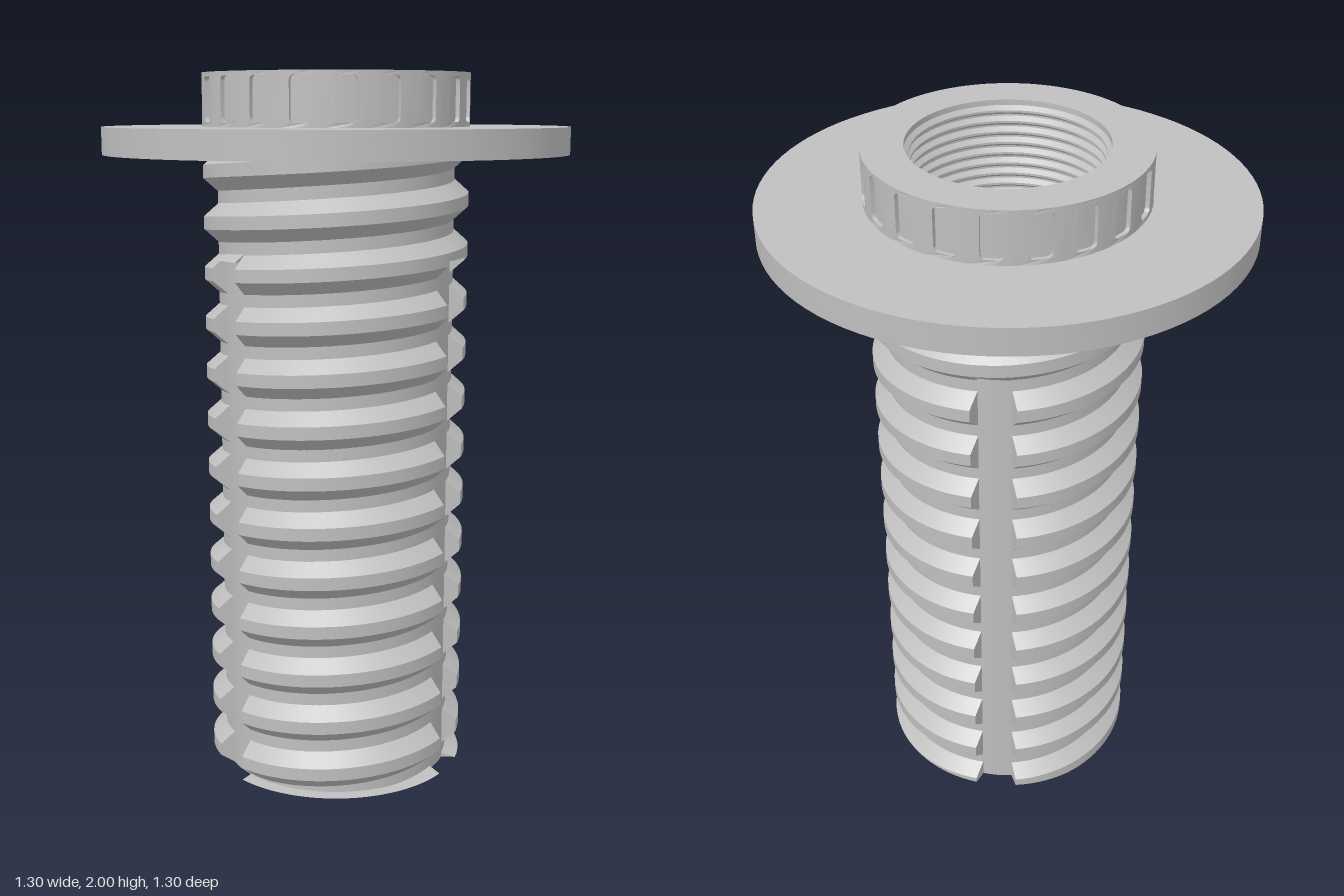
import * as THREE from 'three';
import { mergeGeometries, toCreasedNormals } from 'three/addons/utils/BufferGeometryUtils.js';

const RAD = Math.PI / 180;
const ROOT = 0.333, CREST = 0.373;        // outer thread radii
const FLANGE_LOW = 1.78, FLANGE_TOP = 1.855, TOP = 2;
const PITCH = 0.141;
const SLOT_TOP = 1.5;

// Revolved profile with sharp edges kept
function revolve(points) {
  const g = new THREE.LatheGeometry(points.map(p => new THREE.Vector2(...p)), 96);
  return toCreasedNormals(g, 0.4);
}

// One piece of the helical ridge; a and b are running angles in degrees,
// flare shifts the crest corners so the ridge ends are slanted
function ridgePiece(a, b, flare, low) {
  const steps = Math.max(2, Math.ceil((b - a) / 4));
  const corners = [[ROOT - 0.004, -0.057], [CREST, -0.018], [CREST, 0.018], [ROOT - 0.004, 0.057]];
  const pos = [], idx = [];
  let highest = -Infinity;
  for (let i = 0; i <= steps; i++) {
    const t = i / steps;
    corners.forEach(([r, dy], j) => {
      const inset = j === 1 || j === 2 ? flare : 0;
      const deg = THREE.MathUtils.lerp(a + inset, b - inset, t);
      const y = 1.66 - 13 * PITCH + (deg / 360) * PITCH + dy;
      highest = Math.max(highest, y);
      const c = THREE.MathUtils.clamp(y, low, FLANGE_LOW + 0.01);
      pos.push(r * Math.cos(deg * RAD), c, -r * Math.sin(deg * RAD));
    });
  }
  if (highest <= low) return null;
  for (let i = 0; i < steps; i++) {
    for (let j = 0; j < 4; j++) {
      const k = (j + 1) % 4;
      const p = i * 4 + j, q = i * 4 + k;
      idx.push(p, p + 4, q, q, p + 4, q + 4);
    }
  }
  const e = steps * 4;
  idx.push(0, 1, 2, 0, 2, 3, e, e + 2, e + 1, e, e + 3, e + 2);
  const g = new THREE.BufferGeometry();
  g.setAttribute('position', new THREE.Float32BufferAttribute(pos, 3));
  g.setIndex(idx);
  return g;
}

// Helical ridge, interrupted by three lengthwise slots below SLOT_TOP
function outerThread() {
  const pieces = [];
  const half = 7.5, flare = 2;
  for (let s = -360; s < 14.5 * 360; s += 120) {
    const slot = s + 90;                  // slots at 90, 210 and 330 degrees
    pieces.push(ridgePiece(slot - half, slot + half, -flare, SLOT_TOP));
    pieces.push(ridgePiece(slot + half, slot + 120 - half, flare, 0));
  }
  return toCreasedNormals(mergeGeometries(pieces.filter(Boolean)), 0.4);
}

// Rounded window outline, used as a hole
function windowPath(w, y0, y1, r) {
  const p = new THREE.Path();
  p.moveTo(-w + r, y0);
  p.lineTo(w - r, y0);
  p.quadraticCurveTo(w, y0, w, y0 + r);
  p.lineTo(w, y1 - r);
  p.quadraticCurveTo(w, y1, w - r, y1);
  p.lineTo(-w + r, y1);
  p.quadraticCurveTo(-w, y1, -w, y1 - r);
  p.lineTo(-w, y0 + r);
  p.quadraticCurveTo(-w, y0, -w + r, y0);
  return p;
}

// Ring of panels with pockets, bent around the collar
function pocketRing(count, depth) {
  const panels = [];
  const half = Math.PI * CREST / count, n = 6;
  const outline = [];
  for (let i = 0; i <= n; i++) outline.push(new THREE.Vector2(-half + 2 * half * i / n, FLANGE_TOP));
  for (let i = n; i >= 0; i--) outline.push(new THREE.Vector2(-half + 2 * half * i / n, TOP));
  const shape = new THREE.Shape(outline);
  shape.holes.push(windowPath(0.03, 1.868, 1.988, 0.014));
  const panel = new THREE.ExtrudeGeometry(shape, { depth, bevelEnabled: false, curveSegments: 4 });
  const p = panel.attributes.position;
  for (let i = 0; i < p.count; i++) {
    const angle = p.getX(i) / CREST, r = CREST - depth + p.getZ(i);
    p.setXYZ(i, r * Math.sin(angle), p.getY(i), r * Math.cos(angle));
  }
  for (let i = 0; i < count; i++) panels.push(panel.clone().rotateY(i * 2 * Math.PI / count));
  return toCreasedNormals(mergeGeometries(panels), 0.5);
}

// Bore: fine thread in the upper part, plain and slightly wider below
function boreProfile() {
  const pts = [[0.262, TOP], [0.262, 1.985]];
  for (let y = 1.975; y > 1.3; y -= 0.03) {
    pts.push([0.25, y], [0.25, y - 0.006], [0.262, y - 0.015], [0.262, y - 0.02]);
  }
  pts.push([0.25, 1.28], [0.27, 1.26], [0.27, 0]);
  return pts;
}

export function createModel() {
  const model = new THREE.Group();
  const grey = new THREE.MeshStandardMaterial({ color: 0xbfbfbf });
  grey.name = 'grey';
  const add = (name, geometry) => {
    const mesh = new THREE.Mesh(geometry, grey);
    mesh.name = name;
    model.add(mesh);
  };

  add('tubeCore', revolve([[0.27, 0], [ROOT, 0], [ROOT, FLANGE_LOW]]));
  add('outerThread', outerThread());
  add('flange', revolve([[ROOT, FLANGE_LOW], [0.65, FLANGE_LOW], [0.65, FLANGE_TOP], [0.361, FLANGE_TOP]]));
  add('collar', revolve([[0.361, FLANGE_TOP], [0.361, TOP], [0.262, TOP]]));
  add('collarPockets', pocketRing(20, 0.012));
  add('threadedBore', revolve(boreProfile()));
  return model;
}
